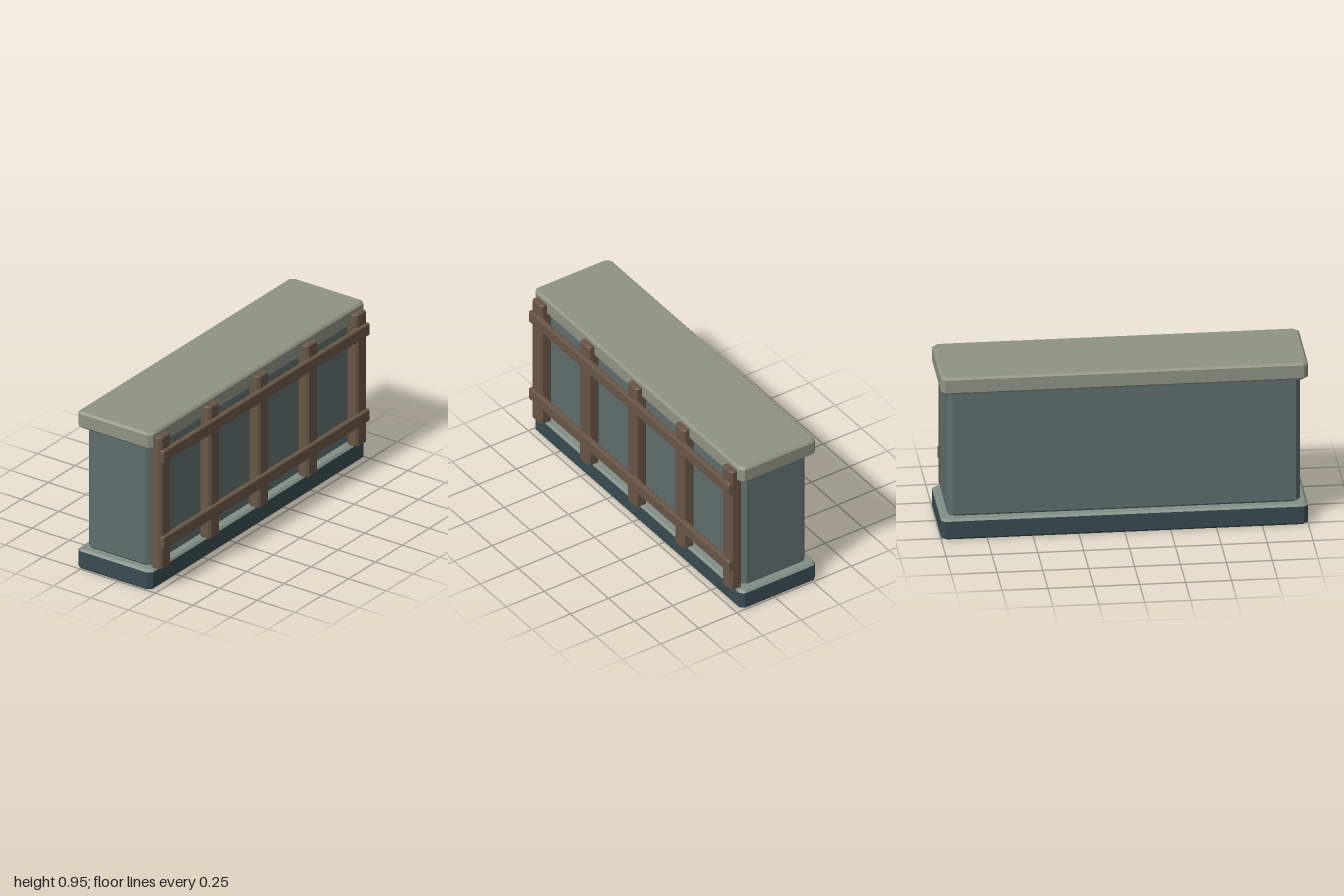
import * as THREE from 'three';
import { ConvexGeometry } from 'three/addons/geometries/ConvexGeometry.js';

const paint = (color) => new THREE.MeshStandardMaterial({ color, flatShading: true });

// Box with cut vertical corners (c) and bevelled rims at the bottom (b0) and top (b1)
function block(name, material, [x0, x1], [y0, y1], [z0, z1], c, b0, b1 = b0) {
  const points = [];
  const ring = (y, inset) => {
    const hx = (x1 - x0) / 2 - inset, hz = (z1 - z0) / 2 - inset;
    for (const sx of [-1, 1]) for (const sz of [-1, 1]) {
      points.push(new THREE.Vector3(sx * (hx - c), y, sz * hz));
      points.push(new THREE.Vector3(sx * hx, y, sz * (hz - c)));
    }
  };
  const h = (y1 - y0) / 2;
  ring(-h, b0);
  if (b0) ring(-h + b0, 0);
  if (b1) ring(h - b1, 0);
  ring(h, b1);
  const mesh = new THREE.Mesh(new ConvexGeometry(points), material);
  mesh.position.set((x0 + x1) / 2, (y0 + y1) / 2, (z0 + z1) / 2);
  mesh.name = name;
  return mesh;
}

export function createModel() {
  const model = new THREE.Group();
  model.name = 'counter';
  const stone = paint(0x8f9383), wall = paint(0x5f6e6e), plinth = paint(0x394b51);
  const trim = paint(0x828e86), wood = paint(0x685646);

  // Plinth with a paler bevelled top, main body and worktop
  model.add(
    block('plinth', plinth, [-1, 1], [0, 0.108], [-0.278, 0.22], 0.022, 0.012, 0),
    block('plinthTop', trim, [-1, 1], [0.108, 0.12], [-0.278, 0.22], 0.022, 0, 0.012),
    block('body', wall, [-0.96, 0.96], [0.12, 0.852], [-0.237, 0.18], 0.024, 0.012),
    block('worktop', stone, [-1, 1], [0.852, 0.95], [-0.278, 0.22], 0.022, 0.012)
  );

  // Timber frame across the front
  const frame = new THREE.Group();
  frame.name = 'timberFrame';
  for (let i = -2; i <= 2; i++) {
    const x = i * 0.456;
    frame.add(block('post', wood, [x - 0.047, x + 0.047], [0.123, 0.92], [0.185, 0.258], 0.012, 0.005));
  }
  for (const y of [0.29, 0.81]) {
    frame.add(block('rail', wood, [-0.96, 0.96], [y - 0.036, y + 0.036], [0.247, 0.278], 0.006, 0.005));
  }
  model.add(frame);
  return model;
}
